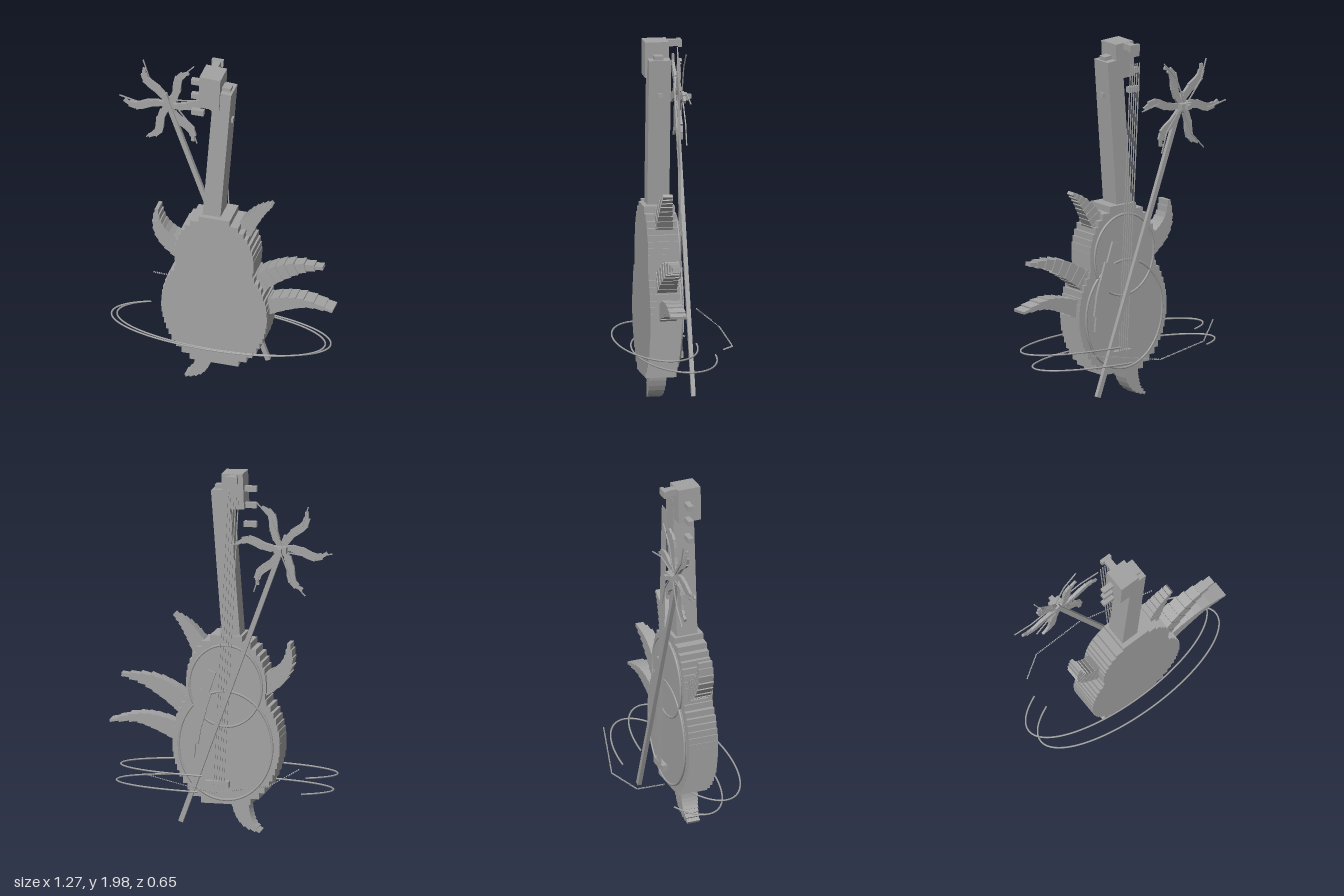
import * as THREE from 'three';

const V = (x, y, z) => new THREE.Vector3(x, y, z);

export function createModel() {
  const model = new THREE.Group();
  const grey = new THREE.MeshStandardMaterial({ color: 0xa3a3a3 });
  grey.name = 'plain grey';

  const add = (name, geometry, parent = model) => {
    const mesh = new THREE.Mesh(geometry, grey);
    mesh.name = name;
    parent.add(mesh);
    return mesh;
  };
  const group = (name) => {
    const g = new THREE.Group();
    g.name = name;
    model.add(g);
    return g;
  };
  const box = (name, w, h, d, x, y, z, tilt = 0, parent = model) => {
    const mesh = add(name, new THREE.BoxGeometry(w, h, d), parent);
    mesh.position.set(x, y, z);
    mesh.rotation.z = tilt;
    return mesh;
  };
  // Box running between two points in the xy plane
  const bar = (name, a, b, w, d, z, parent = model) => {
    const dx = b[0] - a[0], dy = b[1] - a[1];
    return box(name, w, Math.hypot(dx, dy), d, (a[0] + b[0]) / 2, (a[1] + b[1]) / 2, z,
      Math.atan2(-dx, dy), parent);
  };
  // Stepped, tapering chain of boxes along a curve; widths [start, mid, end]
  const taper = (name, pts, widths, depths, z, steps, parent) => {
    const curve = new THREE.CatmullRomCurve3(pts.map(p => V(p[0], p[1], 0)));
    const mix = (list, t) => {
      const f = Math.min(t * (list.length - 1), list.length - 1.001), i = Math.floor(f);
      return list[i] + (list[i + 1] - list[i]) * (f - i);
    };
    for (let i = 0; i < steps; i++) {
      const a = curve.getPoint(i / steps), b = curve.getPoint((i + 1.15) / steps > 1 ? 1 : (i + 1.15) / steps);
      const t = (i + 0.5) / steps;
      bar(name, [a.x, a.y], [b.x, b.y], mix(widths, t), mix(depths, t), z, parent);
    }
  };

  // Body: stacked slabs following two overlapping ellipses
  const body = group('body');
  const slabs = 27, y0 = 0.165, pitch = 0.93 / slabs;
  const half = (y, cy, rx, ry) => rx * Math.sqrt(Math.max(0, 1 - ((y - cy) / ry) ** 2));
  for (let i = 0; i < slabs; i++) {
    const y = y0 + (i + 0.5) * pitch;
    const w = Math.max(half(y, 0.83, 0.222, 0.27), half(y, 0.5, 0.297, 0.358));
    box('bodySlab', 2 * w, pitch, 0.168, -0.02, y, 0.094, 0, body);
  }

  // Soundboards with raised rims on the back
  for (const [name, cy, rx, ry] of [['lowerSoundboard', 0.49, 0.258, 0.3], ['upperSoundboard', 0.82, 0.2, 0.225]]) {
    const disc = add(name, new THREE.CylinderGeometry(1, 1, 0.012, 48));
    disc.rotation.x = Math.PI / 2;
    disc.scale.set(rx, 1, ry);
    disc.position.set(-0.02, cy, 0.005);
    const path = [];
    for (let i = 0; i < 48; i++) {
      const a = i * Math.PI / 24;
      path.push(V(-0.02 + rx * Math.cos(a), cy + ry * Math.sin(a), 0));
    }
    add(name + 'Rim', new THREE.TubeGeometry(new THREE.CatmullRomCurve3(path, true), 64, 0.007, 6, true));
  }

  // Curved guard plate and bridge
  taper('guardPlate', [[0.05, 0.9], [0.11, 0.72], [0.15, 0.58], [0.17, 0.42]], [0.03, 0.075, 0.075, 0.03], [0.014, 0.014], -0.013, 5, group('guard'));
  box('bridge', 0.13, 0.035, 0.03, 0.02, 0.28, -0.02);

  // Neck, head and pegs
  bar('neck', [-0.045, 1.06], [0.018, 1.895], 0.1, 0.12, 0.09);
  box('neckCap', 0.05, 0.03, 0.05, 0.03, 1.9, 0.095, -0.07);
  box('neckPeg', 0.03, 0.025, 0.03, 0.05, 1.7, 0.09);
  box('head', 0.118, 0.195, 0.13, -0.052, 1.888, 0.097, -0.04);
  box('headPeg', 0.04, 0.035, 0.09, -0.06, 1.967, 0.0);
  box('headPegKnob', 0.065, 0.04, 0.02, -0.062, 1.967, -0.035);
  for (const y of [1.9, 1.81, 1.705]) box('tuningPeg', 0.07, 0.03, 0.03, -0.14, y, 0.08);

  // Strings fan from the bridge to the head
  const strings = group('strings');
  for (let i = 0; i < 5; i++) {
    const k = i - 2;
    bar('string', [0.012 + k * 0.014, 0.27], [-0.07 + k * 0.015, 1.88], 0.005, 0.005, -0.033, strings);
  }

  // Curved horns around the body
  const horns = [
    [[[0.11, 0.98], [0.165, 1.07], [0.22, 1.14], [0.28, 1.19]], [0.1, 0.065, 0.012], [0.1, 0.07, 0.05]],
    [[[0.19, 0.68], [0.31, 0.765], [0.43, 0.82], [0.57, 0.84]], [0.11, 0.085, 0.012], [0.11, 0.08, 0.04]],
    [[[0.24, 0.54], [0.37, 0.59], [0.48, 0.61], [0.63, 0.585]], [0.1, 0.065, 0.008], [0.09, 0.09, 0.09]],
    [[[-0.21, 0.82], [-0.305, 0.88], [-0.355, 0.96], [-0.36, 1.06]], [0.12, 0.075, 0.012], [0.1, 0.09, 0.08]],
    [[[-0.09, 0.19], [-0.105, 0.11], [-0.14, 0.05], [-0.2, 0.01]], [0.1, 0.07, 0.008], [0.1, 0.09, 0.07]],
  ];
  for (const [pts, widths, depths] of horns) taper('hornSegment', pts, widths, depths, 0.083, 8, group('horn'));

  // Long stem carrying a pinwheel flower
  bar('stem', [0.212, 0.075], [-0.372, 1.685], 0.026, 0.022, -0.067);
  const flower = group('flower');
  flower.position.set(-0.35, 1.615, 0);
  for (let i = 0; i < 6; i++) {
    const petal = new THREE.Group();
    petal.name = 'petal';
    petal.rotation.z = (2 + 60 * i) * Math.PI / 180;
    flower.add(petal);
    taper('petalSegment', [[0, 0], [0.08, -0.004], [0.15, 0.025], [0.2, 0.035], [0.25, 0.005]],
      [0.025, 0.04, 0.048, 0.036, 0.01], [0.02, 0.012], -0.073, 6, petal);
    bar('petalNeedle', [0.0, 0.01], [0.17, 0.03], 0.006, 0.006, -0.1, petal);
    bar('petalNeedle', [0.17, 0.03], [0.285, 0], 0.006, 0.006, -0.1, petal);
  }
  box('flowerHub', 0.07, 0.035, 0.035, 0, 0, -0.11, 0, flower);
  box('flowerPin', 0.025, 0.025, 0.06, 0, 0, -0.12, 0, flower);

  // Two open hoops circling the lower body
  for (const [y, cz] of [[0.34, 0.105], [0.275, 0]]) {
    const path = [];
    for (let i = 0; i <= 40; i++) {
      const a = (-80 + (301 * i) / 40) * Math.PI / 180;
      path.push(V(-0.017 + 0.598 * Math.cos(a), y, cz + 0.213 * Math.sin(a)));
    }
    add('hoop', new THREE.TubeGeometry(new THREE.CatmullRomCurve3(path), 100, 0.005, 6));
  }

  // Beaded thread behind the body
  const thread = group('beadedThread');
  const knots = [V(-0.47, 0.425, -0.2), V(-0.33, 0.35, -0.3), V(-0.02, 0.3, -0.32), V(0.39, 0.36, -0.2)];
  const bead = new THREE.BoxGeometry(0.006, 0.006, 0.006);
  for (let k = 0; k < 3; k++) {
    const count = Math.round(knots[k].distanceTo(knots[k + 1]) / 0.011);
    for (let i = 0; i < count; i++) {
      add('bead', bead, thread).position.lerpVectors(knots[k], knots[k + 1], i / count);
    }
  }
  return model;
}
